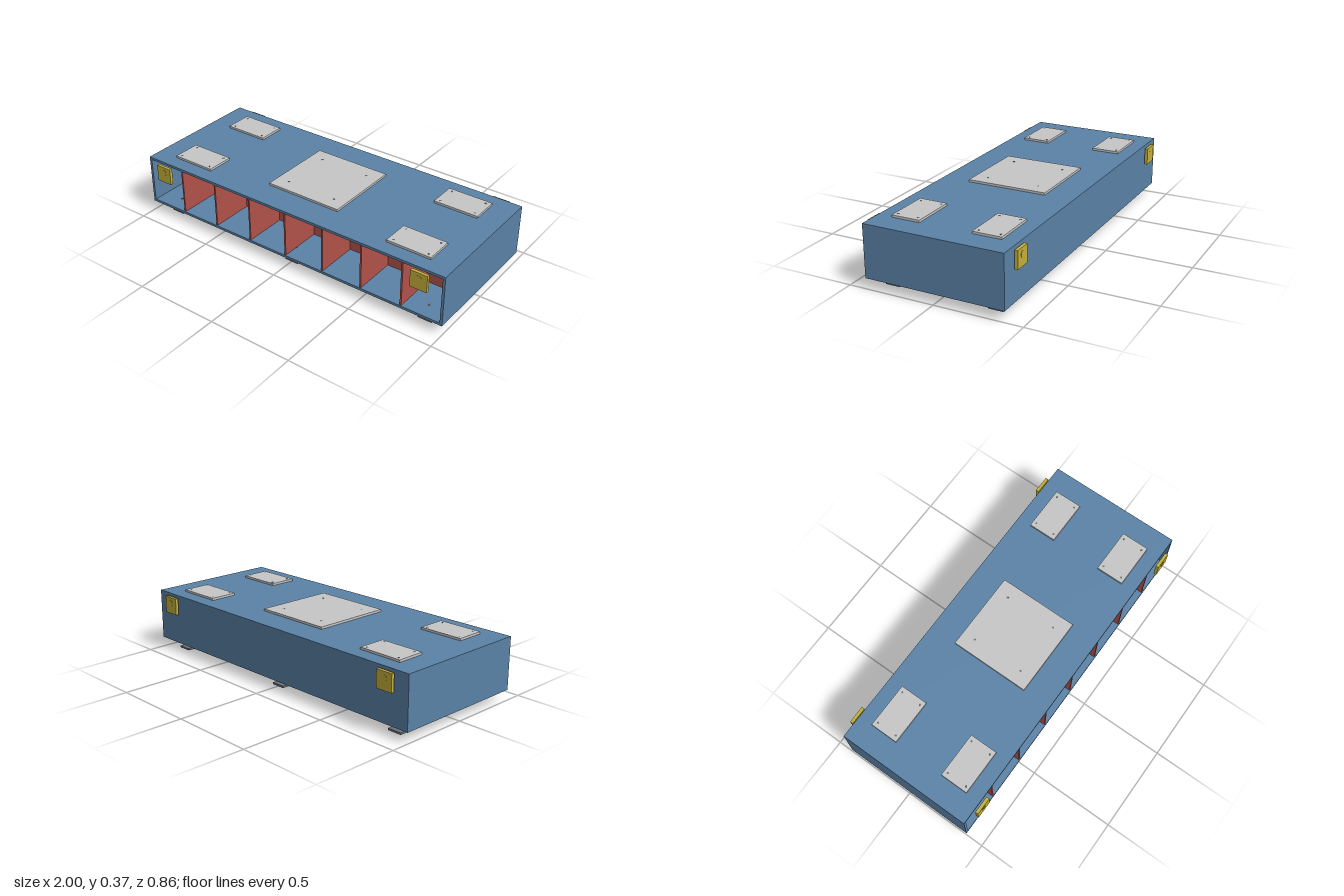
import * as THREE from 'three';

function mat(name, color) {
  const m = new THREE.MeshStandardMaterial({ color });
  m.name = name;
  return m;
}

export function createModel() {
  const blue = mat('cabinet blue', 0x5a82a6);
  const red = mat('partition red', 0xb0524a);
  const yellow = mat('bracket yellow', 0xc4b03a);
  const pale = mat('plate grey', 0xc6c6c6);
  const steel = mat('foot steel', 0x6c737b);

  const model = new THREE.Group();
  model.name = 'lowCabinet';

  const add = (parent, name, geometry, material, x, y, z) => {
    const m = new THREE.Mesh(geometry, material);
    m.name = name;
    m.position.set(x, y, z);
    parent.add(m);
    return m;
  };
  const group = (name) => {
    const g = new THREE.Group();
    g.name = name;
    model.add(g);
    return g;
  };
  // box given by its minimum and maximum corners
  const box = (parent, name, material, [x0, y0, z0], [x1, y1, z1]) =>
    add(parent, name, new THREE.BoxGeometry(x1 - x0, y1 - y0, z1 - z0), material,
      (x0 + x1) / 2, (y0 + y1) / 2, (z0 + z1) / 2);

  // Open-fronted shell: a rectangular tube plus a back wall
  const t = 0.015;
  const shell = group('shell');
  const frame = new THREE.Shape([[-1, 0.06], [1, 0.06], [1, 0.36], [-1, 0.36]]
    .map(([x, y]) => new THREE.Vector2(x, y)));
  frame.holes.push(new THREE.Path([[-1 + t, 0.06 + t], [-1 + t, 0.36 - t], [1 - t, 0.36 - t], [1 - t, 0.06 + t]]
    .map(([x, y]) => new THREE.Vector2(x, y))));
  add(shell, 'shellWalls', new THREE.ExtrudeGeometry(frame, { depth: 0.8, bevelEnabled: false }), blue, 0, 0, -0.4);
  box(shell, 'backWall', blue, [-1 + t, 0.06 + t, -0.4], [1 - t, 0.36 - t, -0.4 + t]);

  // Inner back panel and seven dividers
  const inside = group('partitions');
  box(inside, 'innerPanel', red, [-1 + t, 0.06 + t, 0.13], [1 - t, 0.36 - t, 0.14]);
  for (let i = -3; i <= 3; i++) {
    const x = i * 0.25;
    box(inside, 'divider', red, [x - 0.005, 0.06 + t, 0.14], [x + 0.005, 0.36 - t, 0.395]);
  }

  // Cover plates on the lid, each with four screws
  const screw = new THREE.CylinderGeometry(0.006, 0.006, 0.002, 16);
  const coverPlate = (name, cx, cz, w, d, sx, sz) => {
    const g = group(name);
    box(g, 'plate', pale, [cx - w / 2, 0.36, cz - d / 2], [cx + w / 2, 0.373, cz + d / 2]);
    for (const i of [-1, 1]) for (const j of [-1, 1])
      add(g, 'screw', screw, steel, cx + i * sx, 0.373, cz + j * sz);
  };
  coverPlate('centreCover', 0, 0, 0.466, 0.466, 0.155, 0.155);
  for (const sx of [-1, 1]) for (const sz of [-1, 1])
    coverPlate('cornerCover', sx * 0.732, sz * 0.233, 0.265, 0.164, 0.105, 0.06);

  // Brackets on the front and back, each with a round stud
  const stud = new THREE.CylinderGeometry(0.018, 0.018, 0.021, 24);
  for (const sx of [-1, 1]) for (const sz of [-1, 1]) {
    const g = group('bracket');
    g.position.set(sx * 0.865, 0.295, sz * 0.418);
    box(g, 'bracketPlate', yellow, [-0.05, -0.05, -0.009], [0.05, 0.05, 0.009]);
    add(g, 'bracketStud', stud, yellow, 0, 0.015, 0).rotation.x = Math.PI / 2;
  }

  // Levelling feet: square pad with a threaded rod through the floor
  const rod = new THREE.CylinderGeometry(0.01, 0.01, 0.068, 20);
  for (const x of [-0.865, 0, 0.865]) for (const z of [-0.3, 0.3]) {
    const g = group('foot');
    g.position.set(x, 0, z);
    box(g, 'footPad', steel, [-0.042, 0, -0.042], [0.042, 0.011, 0.042]);
    add(g, 'footRod', rod, steel, 0, 0.043, 0);
  }

  return model;
}
